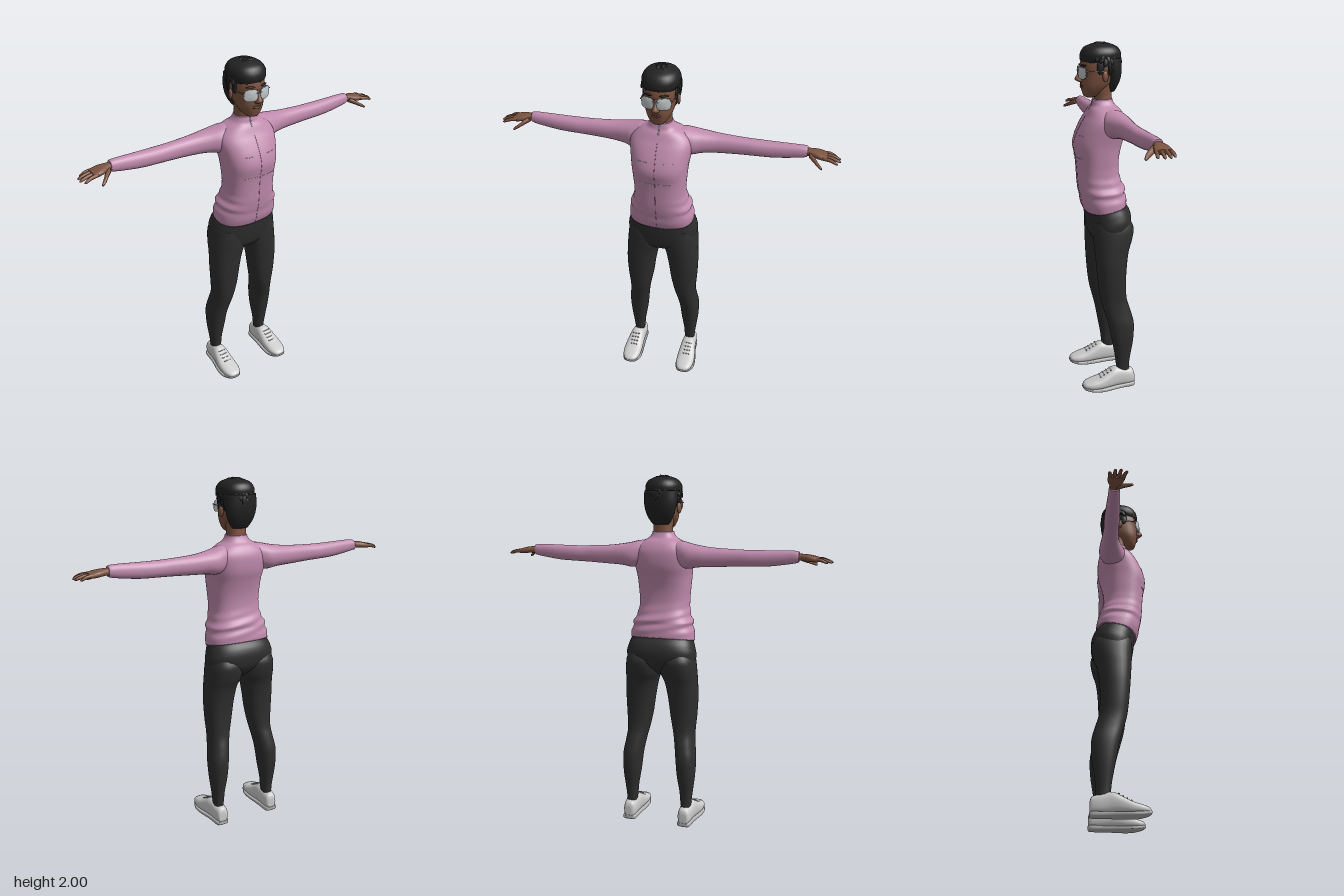
import * as THREE from 'three';
import { mergeGeometries } from 'three/addons/utils/BufferGeometryUtils.js';

const paint = (name, color) => {
  const m = new THREE.MeshStandardMaterial({ color });
  m.name = name;
  return m;
};

// Axis maps from (u, t, v) to (x, y, z): t is the direction of the loft
const UP = (u, t, v) => [u, t, v];
const SIDE = (u, t, v) => [t, v, u];
const FORWARD = (u, t, v) => [v, u, t];

const spline = (a, b, c, d, f) =>
  0.5 * (2 * b + (c - a) * f + (2 * a - 5 * b + 4 * c - d) * f * f + (3 * b - a - 3 * c + d) * f ** 3);

// Smooth closed skin through rings [t, uMin, uMax, vMin, vMax]; power sets how square each ring is
function loft(rings, { axes = UP, power = 2.2, sides = 32, steps = 5 } = {}) {
  const at = (i) => rings[Math.max(0, Math.min(rings.length - 1, i))];
  const rows = [];
  for (let i = 0; i < rings.length - 1; i++)
    for (let s = 0; s < steps; s++)
      rows.push(rings[i].map((_, k) => spline(at(i - 1)[k], at(i)[k], at(i + 1)[k], at(i + 2)[k], s / steps)));
  rows.push(at(rings.length));
  const pos = [], index = [];
  const bend = (c) => Math.sign(c) * Math.abs(c) ** (2 / power);
  for (const [t, u0, u1, v0, v1] of rows)
    for (let j = 0; j < sides; j++) {
      const a = (j / sides) * Math.PI * 2;
      pos.push(...axes((u0 + u1) / 2 + (u1 - u0) / 2 * bend(Math.cos(a)), t, (v0 + v1) / 2 + (v1 - v0) / 2 * bend(Math.sin(a))));
    }
  const last = (rows.length - 1) * sides, tip = rows.length * sides;
  for (const r of [rows[0], rows[rows.length - 1]]) pos.push(...axes((r[1] + r[2]) / 2, r[0], (r[3] + r[4]) / 2));
  for (let j = 0; j < sides; j++) {
    const k = (j + 1) % sides;
    for (let b = 0; b < last; b += sides)
      index.push(b + j, b + sides + j, b + k, b + k, b + sides + j, b + sides + k);
    index.push(tip, j, k, tip + 1, last + k, last + j);
  }
  const g = new THREE.BufferGeometry();
  g.setAttribute('position', new THREE.Float32BufferAttribute(pos, 3));
  g.setIndex(index);
  g.computeVertexNormals();
  return g;
}

// Move vertices by a rule
function warp(g, rule) {
  const p = g.attributes.position, v = new THREE.Vector3();
  for (let i = 0; i < p.count; i++) {
    rule(v.fromBufferAttribute(p, i));
    p.setXYZ(i, v.x, v.y, v.z);
  }
  g.computeVertexNormals();
  return g;
}

function mirrored(g) {
  const m = g.clone().scale(-1, 1, 1), a = m.index.array;
  for (let i = 0; i < a.length; i += 3) [a[i], a[i + 1]] = [a[i + 1], a[i]];
  return m;
}

const centred = (rows) => rows.map(([y, w, back, front]) => [y, -w, w, back, front]);
const box = (w, h, d, x, y, z) => new THREE.BoxGeometry(w, h, d).translate(x, y, z);

export function createModel() {
  const model = new THREE.Group();
  model.name = 'figure';
  const skin = paint('skin', 0x7d5340), lip = paint('lip', 0x693c34), hair = paint('hair', 0x222222);
  const shirt = paint('pink shirt', 0xc08bad), seam = paint('seam', 0x9d6d8c);
  const trousers = paint('dark trousers', 0x2e2e2e), shoe = paint('light shoe', 0xcccccc);
  const soleGrey = paint('sole', 0xb2b2b2), lens = paint('lens', 0xc4c9cb), metal = paint('metal', 0x8c8c8c);
  const add = (name, g, m) => {
    const mesh = new THREE.Mesh(g, m);
    mesh.name = name;
    model.add(mesh);
  };
  const pair = (name, g, m) => {
    add(name + 'Left', g, m);
    add(name + 'Right', mirrored(g), m);
  };

  // Shirt body: the hem drops towards the front
  const body = [
    [1.08, 0.184, -0.13, 0.1], [1.12, 0.182, -0.128, 0.115], [1.16, 0.172, -0.12, 0.122], [1.19, 0.168, -0.118, 0.13],
    [1.24, 0.148, -0.1, 0.138], [1.3, 0.142, -0.088, 0.142], [1.37, 0.147, -0.09, 0.148], [1.44, 0.153, -0.105, 0.16],
    [1.5, 0.162, -0.122, 0.145], [1.56, 0.17, -0.125, 0.115], [1.6, 0.158, -0.118, 0.09], [1.635, 0.118, -0.098, 0.072],
    [1.655, 0.08, -0.075, 0.058], [1.675, 0.063, -0.063, 0.053], [1.69, 0.058, -0.058, 0.05],
  ];
  const drop = (p) => { p.y -= 0.2 * p.z * Math.max(0, Math.min(1, (1.3 - p.y) / 0.2)); };
  const folds = (p) => {
    drop(p);
    const k = Math.exp(-(((p.y - 1.2) / 0.06) ** 2));
    const wave = 1 + 0.03 * k * Math.sin(p.y * 110 + p.x * 22);
    p.x *= wave;
    if (p.z < 0) p.z *= wave;
  };
  add('shirtBody', warp(loft(centred(body), { power: 2.5, sides: 48 }), folds), shirt);
  const strip = (rows, w, lift) => warp(loft(rows.map(([y, , , z]) => [y, -w, w, z - 0.006, z + lift]), { sides: 8 }), drop);
  add('frontSeam', strip(body.slice(0, 11), 0.002, 0.001), seam);
  add('collarZip', strip(body.slice(11), 0.004, 0.003), lens);

  // Pale stitch dashes across the chest
  const dashes = [];
  for (const [y, w, mid, half, xs] of [[1.5, 0.162, 0.0115, 0.1335, [0.055, 0.085]], [1.375, 0.147, 0.029, 0.12, [0.025, 0.055, 0.08]]])
    for (const x of [...xs, ...xs.map((v) => -v)])
      dashes.push(box(0.02, 0.003, 0.008, 0, 0, 0).rotateY(x * 4).translate(x, y, mid + half * (1 - (Math.abs(x) / w) ** 2.5) ** 0.4 - 0.002));
  add('chestStitches', mergeGeometries(dashes), lens);

  // Sleeves
  pair('sleeve', loft([
    [0.07, -0.09, 0.03, 1.53, 1.64], [0.12, -0.11, 0.035, 1.5, 1.642], [0.165, -0.122, 0.03, 1.492, 1.632],
    [0.22, -0.12, 0.008, 1.502, 1.622], [0.3, -0.112, -0.012, 1.507, 1.612], [0.42, -0.104, -0.02, 1.513, 1.606],
    [0.5, -0.105, -0.02, 1.516, 1.604], [0.6, -0.1, -0.024, 1.52, 1.605], [0.7, -0.093, -0.03, 1.533, 1.607],
    [0.75, -0.091, -0.034, 1.542, 1.606], [0.765, -0.088, -0.037, 1.547, 1.602],
  ], { axes: SIDE, sides: 24 }), shirt);

  // Hands: palm, four fingers and thumb
  const handParts = [
    loft([[0.74, -0.083, -0.043, 1.555, 1.593], [0.78, -0.088, -0.034, 1.556, 1.592], [0.82, -0.1, -0.018, 1.552, 1.588],
      [0.855, -0.1, -0.012, 1.55, 1.58], [0.868, -0.096, -0.016, 1.553, 1.576]], { axes: SIDE, sides: 16, power: 2.6 }),
    loft([[0.775, -0.06, -0.025, 1.553, 1.582], [0.8, -0.04, -0.002, 1.543, 1.571], [0.825, -0.008, 0.02, 1.532, 1.553],
      [0.845, 0.014, 0.03, 1.524, 1.539], [0.85, 0.02, 0.027, 1.527, 1.533]], { axes: SIDE, sides: 10 }),
  ];
  for (const [base, end, reach] of [[-0.089, -0.092, 0.916], [-0.067, -0.065, 0.936], [-0.044, -0.037, 0.938], [-0.022, -0.008, 0.925]]) {
    const mid = (base + end) / 2;
    handParts.push(loft([[0.845, base - 0.01, base + 0.01, 1.556, 1.576], [(0.845 + reach) / 2, mid - 0.0095, mid + 0.0095, 1.554, 1.573],
      [reach - 0.012, end - 0.008, end + 0.008, 1.547, 1.562], [reach, end - 0.003, end + 0.003, 1.547, 1.553]], { axes: SIDE, sides: 10, steps: 4 }));
  }
  pair('hand', mergeGeometries(handParts), skin);

  // Trousers: hips and legs
  add('hips', warp(loft(centred([
    [0.872, 0.05, -0.07, 0.02], [0.89, 0.11, -0.105, 0.045], [0.93, 0.185, -0.145, 0.07], [0.99, 0.202, -0.158, 0.083],
    [1.04, 0.193, -0.148, 0.09], [1.08, 0.18, -0.125, 0.094], [1.12, 0.168, -0.11, 0.098],
  ]), { power: 2.4, sides: 48 }), drop), trousers);
  pair('leg', loft([
    [0.1, 0.14, 0.195, -0.122, -0.05], [0.15, 0.134, 0.199, -0.124, -0.044], [0.2, 0.13, 0.205, -0.13, -0.038],
    [0.3, 0.114, 0.216, -0.146, -0.02], [0.4, 0.104, 0.218, -0.15, 0], [0.48, 0.092, 0.207, -0.132, 0.022],
    [0.55, 0.077, 0.202, -0.112, 0.04], [0.64, 0.058, 0.209, -0.106, 0.052], [0.75, 0.042, 0.214, -0.111, 0.061],
    [0.84, 0.024, 0.211, -0.124, 0.067], [0.9, 0.002, 0.208, -0.145, 0.071], [0.97, 0.006, 0.2, -0.157, 0.074],
    [1.02, 0.02, 0.185, -0.135, 0.07],
  ], { power: 2.3 }), trousers);

  // Shoes with soles and laces
  pair('shoe', loft([
    [-0.153, 0.02, 0.08, 0.15, 0.19], [-0.143, 0.012, 0.105, 0.135, 0.2], [-0.11, 0.01, 0.115, 0.13, 0.207],
    [-0.06, 0.01, 0.128, 0.127, 0.212], [-0.03, 0.01, 0.128, 0.125, 0.217], [0.01, 0.01, 0.108, 0.122, 0.224],
    [0.06, 0.01, 0.082, 0.12, 0.23], [0.11, 0.014, 0.066, 0.123, 0.226], [0.145, 0.02, 0.054, 0.138, 0.21], [0.158, 0.026, 0.042, 0.158, 0.19],
  ], { axes: FORWARD, power: 2.5 }), shoe);
  pair('sole', loft([
    [-0.155, 0.008, 0.026, 0.15, 0.19], [-0.14, 0, 0.028, 0.13, 0.206], [-0.06, 0, 0.026, 0.125, 0.214], [0.04, 0, 0.024, 0.116, 0.233],
    [0.1, 0.003, 0.026, 0.118, 0.231], [0.145, 0.013, 0.032, 0.136, 0.212], [0.161, 0.022, 0.034, 0.158, 0.19],
  ], { axes: FORWARD, power: 4 }), soleGrey);
  pair('laces', mergeGeometries([0, 1, 2, 3].map((i) =>
    new THREE.BoxGeometry(0.045, 0.005, 0.007).rotateX(0.5).translate(0.173, 0.119 - i * 0.0115, -0.006 + i * 0.021))), metal);

  // Neck, head, ears and nose
  add('neck', loft(centred([[1.64, 0.06, -0.06, 0.045], [1.7, 0.054, -0.056, 0.042], [1.74, 0.056, -0.055, 0.05], [1.79, 0.06, -0.06, 0.06]])), skin);
  add('head', loft(centred([
    [1.7, 0.02, 0.045, 0.085], [1.708, 0.036, 0.025, 0.1], [1.73, 0.054, -0.005, 0.108], [1.76, 0.069, -0.04, 0.115], [1.79, 0.077, -0.07, 0.117],
    [1.83, 0.083, -0.085, 0.115], [1.87, 0.086, -0.09, 0.118], [1.92, 0.082, -0.088, 0.105], [1.96, 0.055, -0.06, 0.07],
  ])), skin);
  add('nose', loft(centred([[1.782, 0.012, 0.1, 0.122], [1.79, 0.02, 0.1, 0.14], [1.802, 0.018, 0.1, 0.15],
    [1.825, 0.011, 0.1, 0.136], [1.855, 0.009, 0.1, 0.12]]), { sides: 16 }), skin);
  pair('ear', new THREE.SphereGeometry(1, 12, 10).scale(0.01, 0.03, 0.018).rotateY(0.35).translate(0.09, 1.818, 0.002), skin);
  const mouth = (y, h) => warp(new THREE.SphereGeometry(1, 16, 8).scale(0.032, h, 0.007).translate(0, y, 0.114), (p) => {
    p.y += 7 * p.x * p.x;
    p.z -= 9 * p.x * p.x;
  });
  add('lips', mergeGeometries([mouth(1.757, 0.006), mouth(1.766, 0.004)]), lip);
  pair('eyebrow', new THREE.SphereGeometry(1, 12, 8).scale(0.026, 0.005, 0.006).rotateY(0.4).translate(0.042, 1.874, 0.11), hair);

  // Glasses
  const curve = (p) => { p.z -= 4 * p.x * p.x; };
  const pane = (z0, z1, grow) => warp(loft([z0, z1].map((z) => [z, 1.804 - grow, 1.864 + grow, 0.009 - grow, 0.076 + grow]),
    { axes: FORWARD, power: 3, steps: 1 }), curve);
  pair('lens', pane(0.126, 0.132, 0), lens);
  pair('lensRim', pane(0.125, 0.129, 0.003), metal);
  add('glassesBridge', box(0.03, 0.005, 0.006, 0, 1.845, 0.131), metal);
  pair('glassesArm', box(0.003, 0.005, 0.112, 0, 0, 0).rotateY(-0.08).translate(0.086, 1.845, 0.052), metal);

  // Short hair: crown and nape masses under layered locks
  add('hairCrown', loft(centred([[1.888, 0.088, -0.095, 0.112], [1.91, 0.097, -0.104, 0.119], [1.94, 0.097, -0.104, 0.114],
    [1.968, 0.078, -0.085, 0.094], [1.986, 0.04, -0.045, 0.05]])), hair);
  add('hairNape', loft(centred([[1.73, 0.045, -0.068, -0.03], [1.76, 0.066, -0.085, -0.022], [1.8, 0.083, -0.1, -0.015],
    [1.85, 0.093, -0.107, 0.0], [1.91, 0.095, -0.107, 0.03]])), hair);
  pair('sideburn', new THREE.SphereGeometry(1, 10, 8).scale(0.01, 0.04, 0.02).translate(0.083, 1.865, 0.028), hair);
  let seed = 7;
  const rand = () => (seed = (seed * 16807) % 2147483647) / 2147483647;
  const locks = [], total = 190;
  for (let i = 0; i < total; i++) {
    const h = 1 - (2 * (i + 0.5)) / total, r = Math.sqrt(1 - h * h), a = i * 2.39996;
    const n = new THREE.Vector3(Math.cos(a) * r, h, Math.sin(a) * r);
    const p = n.clone().multiply(new THREE.Vector3(0.095, 0.1, 0.106)).add(new THREE.Vector3(0, 1.886, 0.004));
    const limit = p.z > 0.035 ? 1.912 : p.z > -0.02 ? 1.875 : 1.8;
    const jitter = [rand() - 0.5, rand() - 0.5, rand() - 0.5];
    if (p.y < limit) continue;
    const down = new THREE.Vector3(0.5 + jitter[0] * 1.2, -1, 0.3 + jitter[1]);
    if (h < 0.4) down.x = jitter[0] * 0.8;
    down.addScaledVector(n, -down.dot(n)).normalize().addScaledVector(n, 0.15).normalize();
    const across = down.clone().cross(n).normalize(), out = across.clone().cross(down);
    const lock = warp(new THREE.SphereGeometry(1, 8, 6), (v) => { v.x *= 1 - 0.5 * v.y; });
    lock.scale(0.015, 0.027 + jitter[2] * 0.01, 0.009);
    locks.push(lock.applyMatrix4(new THREE.Matrix4().makeBasis(across, down, out).setPosition(p)));
  }
  add('hairLocks', mergeGeometries(locks), hair);
  return model;
}
